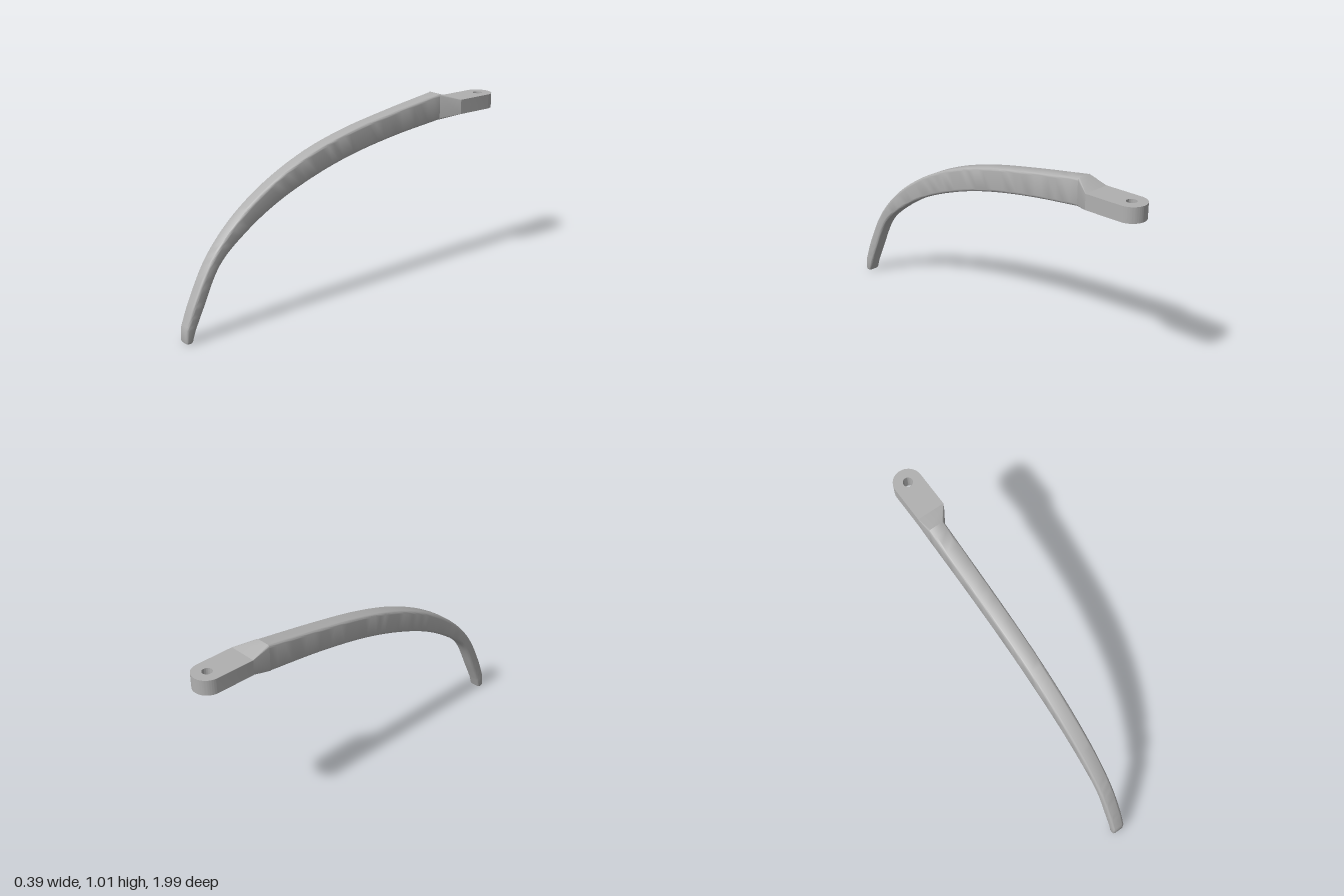
import * as THREE from 'three';
import { toCreasedNormals } from 'three/addons/utils/BufferGeometryUtils.js';

const LEFT = -0.077, EYE_RADIUS = 0.077, EYE_START = -0.725, EYE_CENTRE = -0.93;
const CORNER_STEPS = 5;

// Rounded rectangle from x0 to x1, spanning bottom point b to top point t, both [z, y]
function section(x0, x1, b, t, r) {
  const h = Math.hypot(t[0] - b[0], t[1] - b[1]);
  r = Math.min(r, h * 0.32);
  const corners = [[x1 - r, r, -90], [x1 - r, h - r, 0], [x0 + r, h - r, 90], [x0 + r, r, 180]];
  const ring = [];
  for (const [cx, cy, start] of corners) {
    for (let i = 0; i <= CORNER_STEPS; i++) {
      const a = THREE.MathUtils.degToRad(start + (90 * i) / CORNER_STEPS);
      const k = (cy + r * Math.sin(a)) / h;
      ring.push([cx + r * Math.cos(a), b[1] + (t[1] - b[1]) * k, b[0] + (t[0] - b[0]) * k]);
    }
  }
  return ring;
}

// Skin over a row of sections running front to back, closed at both ends
function loft(rings, crease) {
  const n = rings[0].length, pos = rings.flat(2), index = [];
  for (let s = 0; s < rings.length - 1; s++) {
    for (let i = 0; i < n; i++) {
      const a = s * n + i, b = s * n + (i + 1) % n;
      index.push(a, a + n, b, b, a + n, b + n);
    }
  }
  const last = (rings.length - 1) * n;
  for (let i = 1; i < n - 1; i++) {
    index.push(0, i, i + 1);
    index.push(last, last + i + 1, last + i);
  }
  const g = new THREE.BufferGeometry();
  g.setAttribute('position', new THREE.Float32BufferAttribute(pos, 3));
  g.setIndex(index);
  return toCreasedNormals(g, crease);
}

export function createModel() {
  const metal = new THREE.MeshStandardMaterial({ color: 0xb0b0b0 });
  metal.name = 'grey metal';
  const model = new THREE.Group();
  model.name = 'curvedLever';
  const add = (name, geometry) => {
    const mesh = new THREE.Mesh(geometry, metal);
    mesh.name = name;
    model.add(mesh);
  };

  // Curved arm: upper and lower edge points [z, y], from tip to collar
  const top = [[1.004, 0.075], [0.955, 0.2], [0.85, 0.4], [0.704, 0.565], [0.505, 0.71],
    [0.255, 0.83], [0.004, 0.905], [-0.298, 0.963], [-0.626, 1.015]];
  const bottom = [[0.95, 0.06], [0.902, 0.165], [0.797, 0.37], [0.647, 0.5], [0.455, 0.615],
    [0.205, 0.715], [-0.026, 0.78], [-0.318, 0.833], [-0.626, 0.87]];
  const curve = (pts) => new THREE.CatmullRomCurve3(pts.map(([z, y]) => new THREE.Vector3(0, y, z)));
  const upper = curve(top), lower = curve(bottom);
  const rings = [
    section(LEFT + 0.013, -0.021, [0.978, 0], [0.998, 0], 0.014),
    section(LEFT + 0.004, -0.012, [0.971, 0.004], [1.003, 0.004], 0.016),
    section(LEFT, -0.008, [0.967, 0.014], [1.005, 0.014], 0.016),
  ];
  const steps = 56;
  for (let i = 0; i <= steps; i++) {
    const k = i / steps, t = upper.getPoint(k), b = lower.getPoint(k);
    rings.push(section(LEFT, -0.008 + 0.0217 * k, [b.z, b.y], [t.z, t.y], 0.016));
  }
  add('curvedArm', loft(rings, 0.6));

  // Collar flaring sideways and thinning into the eye
  add('collar', loft([
    section(LEFT, 0.0137, [-0.626, 0.87], [-0.626, 1.015], 0.012),
    section(LEFT, EYE_RADIUS, [EYE_START, 0.9], [EYE_START, 0.98], 0.001),
  ], 0.4));

  // Flat round-ended eye with a pivot hole
  const shape = new THREE.Shape();
  shape.moveTo(LEFT, -EYE_START);
  shape.lineTo(EYE_RADIUS, -EYE_START);
  shape.absarc(0, -EYE_CENTRE, EYE_RADIUS, 0, Math.PI, false);
  shape.closePath();
  const hole = new THREE.Path();
  hole.absarc(0, -EYE_CENTRE, 0.026, 0, Math.PI * 2, true);
  shape.holes.push(hole);
  const eye = new THREE.ExtrudeGeometry(shape, { depth: 0.08, bevelEnabled: false, curveSegments: 32 });
  eye.rotateX(-Math.PI / 2).translate(0, 0.9, 0);
  add('pivotEye', toCreasedNormals(eye, 0.6));

  // The whole lever is angled slightly sideways
  model.rotation.y = -0.1245;
  const root = new THREE.Group();
  root.name = 'lever';
  root.add(model);
  return root;
}
